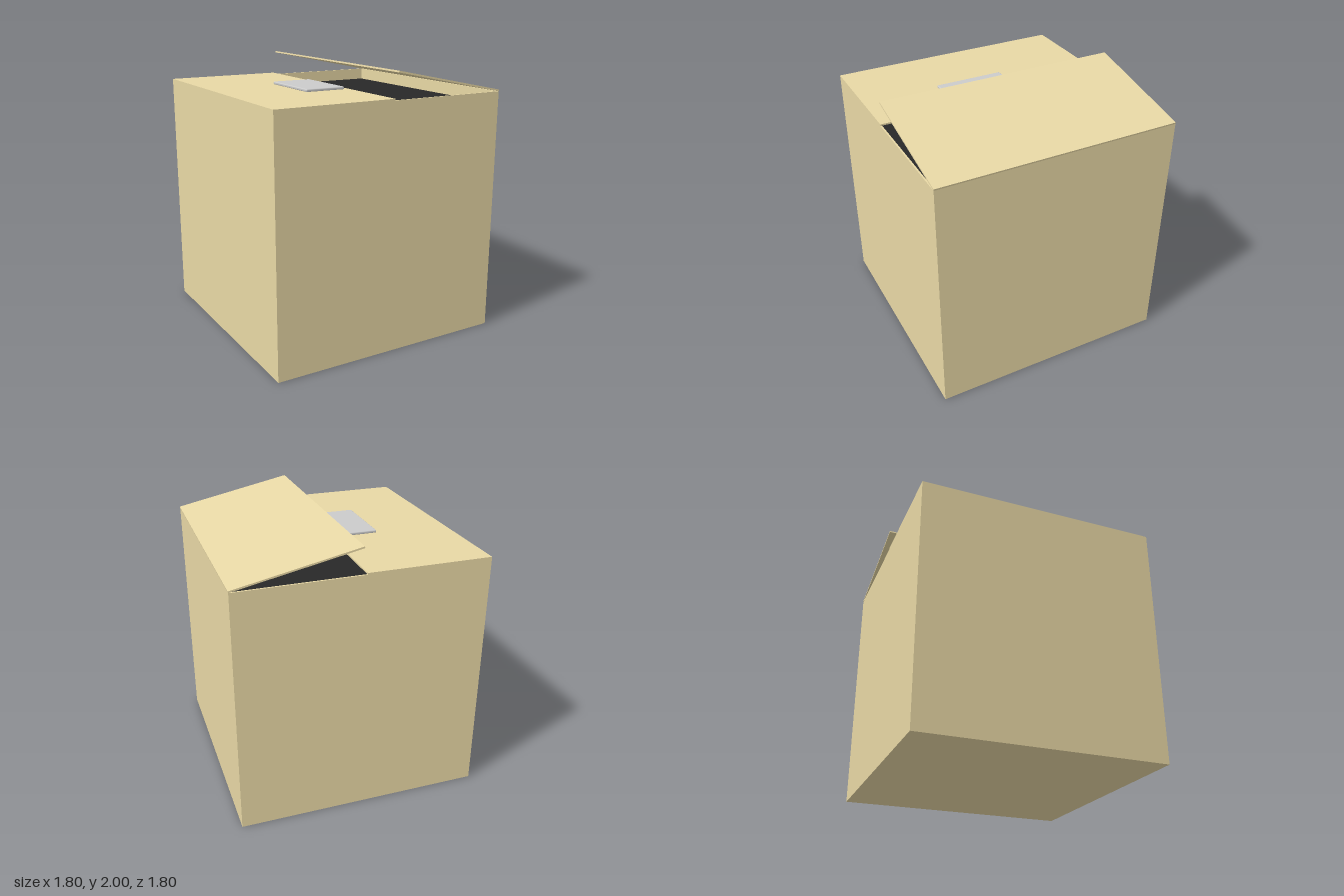
import * as THREE from 'three';
import { RoundedBoxGeometry } from 'three/addons/geometries/RoundedBoxGeometry.js';

export function createModel() {
  const model = new THREE.Group();
  const cardboard = new THREE.MeshStandardMaterial({ color: 0xe8d8a5 });
  const dark = new THREE.MeshStandardMaterial({ color: 0x282828 });
  const grey = new THREE.MeshStandardMaterial({ color: 0xcccccc });

  const half = 0.9, rim = 1.81, t = 0.012;

  const add = (name, geometry, material, x, y, z, parent = model) => {
    const mesh = new THREE.Mesh(geometry, material);
    mesh.name = name;
    mesh.position.set(x, y, z);
    parent.add(mesh);
    return mesh;
  };
  const box = (w, h, d) => new THREE.BoxGeometry(w, h, d);

  // Carton walls and base
  add('base', box(2 * half, t, 2 * half), cardboard, 0, t / 2, 0);
  for (const s of [1, -1]) {
    add(s > 0 ? 'frontWall' : 'backWall', box(2 * half, rim - t, t), cardboard,
      0, (rim + t) / 2, s * (half - t / 2));
    add(s > 0 ? 'leftWall' : 'rightWall', box(t, rim - t, 2 * (half - t)), cardboard,
      s * (half - t / 2), (rim + t) / 2, 0);
  }

  // Dark contents just below the rim
  const inner = 2 * (half - t);
  add('darkInterior', box(inner, 0.02, inner), dark, 0, 1.71, 0);

  // Closed flap
  add('closedFlap', box(half - 0.005, t, 2 * half), cardboard,
    -(half + 0.005) / 2, rim + t / 2, 0);

  // Raised flap, hinged along the +x rim
  const hinge = new THREE.Group();
  hinge.name = 'openFlapHinge';
  hinge.position.set(half, rim, 0);
  hinge.rotation.z = -0.204;
  model.add(hinge);
  const length = 0.9;
  add('openFlap', box(length, t, 2 * half), cardboard, -length / 2, t / 2, 0, hinge);

  // Flat plate lying on the closed flap
  add('plate', new RoundedBoxGeometry(0.31, 0.022, 0.52, 2, 0.008), grey,
    -0.2, rim + t + 0.009, 0.065);

  return model;
}
